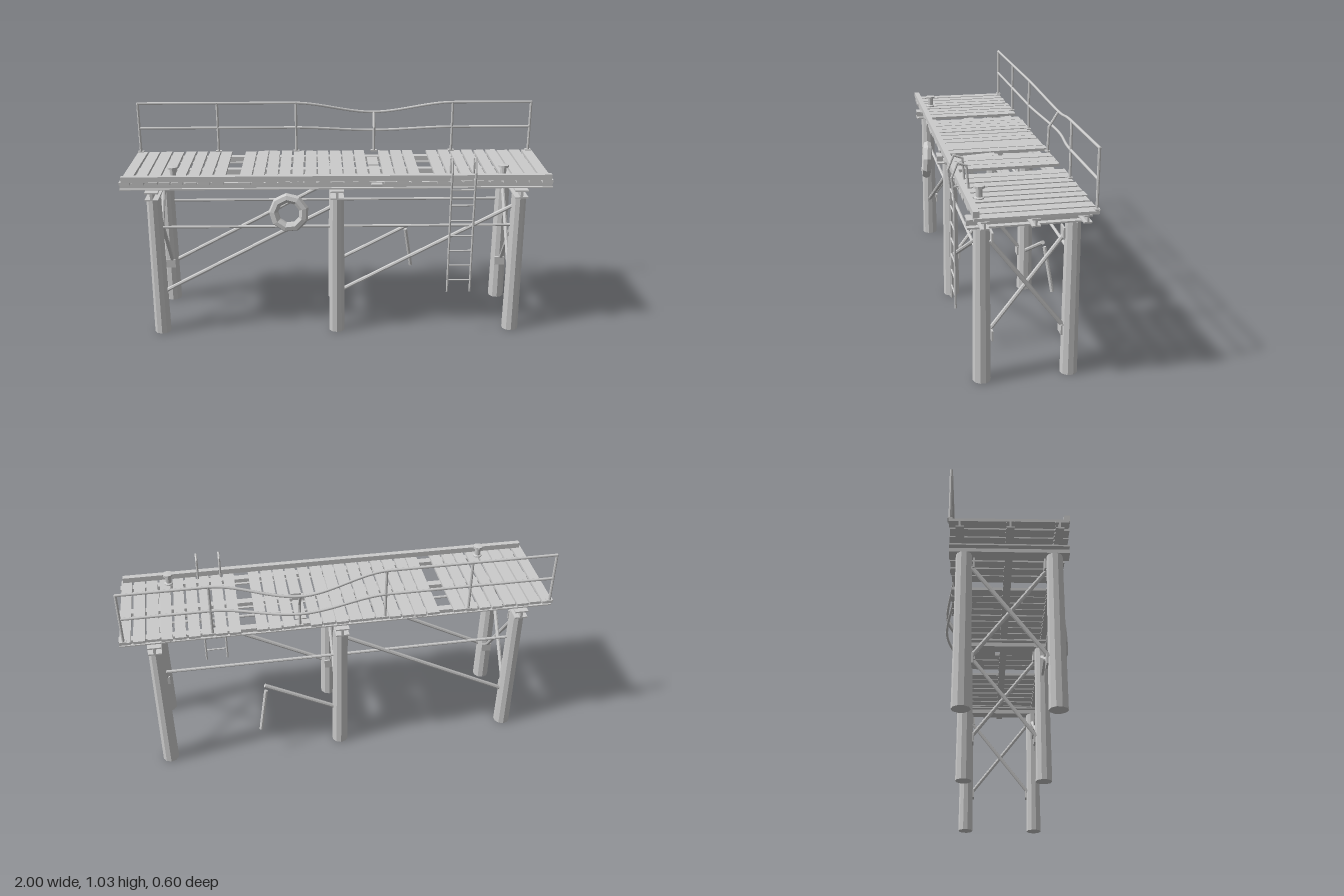
import * as THREE from 'three';

const mat = new THREE.MeshStandardMaterial({ color: 0xcccccc, flatShading: true });
const smooth = new THREE.MeshStandardMaterial({ color: 0xcccccc });
const V = (x, y, z) => new THREE.Vector3(x, y, z);

// small seeded generator, -1..1
function seeded(seed) {
  return () => {
    seed = (seed * 16807) % 2147483647;
    return (seed / 2147483647) * 2 - 1;
  };
}

function add(parent, name, geometry, x = 0, y = 0, z = 0, material = mat) {
  const m = new THREE.Mesh(geometry, material);
  m.name = name;
  m.position.set(x, y, z);
  parent.add(m);
  return m;
}

function box(parent, name, w, h, d, x, y, z) {
  return add(parent, name, new THREE.BoxGeometry(w, h, d), x, y, z);
}

// straight rod between two points
function rod(parent, name, a, b, r, sides = 8) {
  const dir = b.clone().sub(a);
  const m = add(parent, name, new THREE.CylinderGeometry(r, r, dir.length(), sides));
  m.position.copy(a).add(b).multiplyScalar(0.5);
  m.quaternion.setFromUnitVectors(V(0, 1, 0), dir.normalize());
  return m;
}

// steel I-beam along z, centred, standing on y = 0
function iBeam(w, h, flange, web, length) {
  const a = w / 2, b = web / 2, t = h - flange;
  const s = new THREE.Shape([
    [-a, 0], [a, 0], [a, flange], [b, flange], [b, t], [a, t],
    [a, h], [-a, h], [-a, t], [-b, t], [-b, flange], [-a, flange],
  ].map(([x, y]) => new THREE.Vector2(x, y)));
  return new THREE.ExtrudeGeometry(s, { depth: length, bevelEnabled: false }).translate(0, 0, -length / 2);
}

const BENTS = [-0.85, 0, 0.85];
const PILE_Z = 0.188;

function buildFrame() {
  const g = new THREE.Group();
  g.name = 'frame';
  for (const x of BENTS) {
    for (const s of [1, -1]) {
      add(g, 'pile', new THREE.CylinderGeometry(0.034, 0.039, 0.692, 10), x, 0.346, s * PILE_Z);
      // gusset plates on the inner faces
      for (const y of [0.645, 0.21]) box(g, 'gussetPlate', 0.05, 0.045, 0.008, x, y, s * 0.147);
      // cross brace, the two rods just beside each other
      rod(g, 'crossBrace', V(x + s * 0.008, 0.63, s * 0.155), V(x + s * 0.008, 0.225, -s * 0.155), 0.0095);
    }
    add(g, 'capBeam', iBeam(0.062, 0.04, 0.007, 0.012, 0.5), x, 0.692, 0);
  }
  for (const z of [-0.205, 0, 0.2]) {
    add(g, 'stringer', iBeam(0.034, 0.034, 0.006, 0.008, 2), 0, 0.732, z).rotation.y = Math.PI / 2;
  }
  // bracing along the jetty; the back right diagonal is broken
  for (const s of [1, -1]) {
    const z = s * PILE_Z;
    for (const x of [-0.85, 0]) {
      rod(g, 'horizontalBrace', V(x + 0.02, 0.54, z), V(x + 0.83, 0.54, z), 0.007);
      const a = V(x + 0.03, 0.215, z), b = V(x + 0.83, 0.64, z);
      if (s < 0 && x === 0) b.lerpVectors(a, b, 0.42);
      rod(g, 'diagonalBrace', a, b, 0.01);
    }
  }
  rod(g, 'brokenBrace', V(0.362, 0.37, -0.198), V(0.398, 0.155, -0.23), 0.009);
  return g;
}

function buildDeck() {
  const g = new THREE.Group();
  g.name = 'deck';
  const rnd = seeded(77);
  const count = 33, pitch = 2 / count;
  for (let i = 0; i < count; i++) {
    const x = -1 + pitch * (i + 0.5);
    if (i === 8 || i === 23) continue; // missing planks
    const w = pitch - 0.009 + rnd() * 0.003;
    if (i === 19) {
      // snapped plank, both halves sagging towards the break
      box(g, 'brokenPlankFront', w, 0.012, 0.24, x, 0.764, 0.122).rotation.x = 0.06;
      box(g, 'brokenPlankBack', w, 0.012, 0.14, x, 0.762, -0.11).rotation.x = -0.04;
      continue;
    }
    const p = box(g, 'plank', w, 0.013, 0.494 + rnd() * 0.006, x, 0.772 + rnd() * 0.001, -0.004 + rnd() * 0.003);
    p.rotation.y = rnd() * 0.008;
    p.rotation.z = rnd() * 0.02;
  }
  box(g, 'kerb', 1.97, 0.026, 0.025, 0, 0.792, 0.231);
  // mooring bollards
  const profile = [[0, 0], [0.021, 0], [0.021, 0.006], [0.014, 0.01], [0.014, 0.044], [0.024, 0.047], [0.024, 0.057], [0, 0.059]];
  for (const x of [-0.755, 0.77]) {
    add(g, 'bollard', new THREE.LatheGeometry(profile.map(([r, y]) => new THREE.Vector2(r, y)), 10), x, 0.778, 0.182);
  }
  return g;
}

function buildRailing() {
  const g = new THREE.Group();
  g.name = 'railing';
  const z = -0.245, step = 0.391;
  for (let i = 0; i < 6; i++) {
    const x = (i - 2.5) * step;
    box(g, 'postFoot', 0.03, 0.006, 0.02, x, 0.781, z);
    if (i === 3) {
      // post bent outwards
      rod(g, 'bentPost', V(x, 0.775, z), V(x, 0.9, z - 0.005), 0.0065);
      rod(g, 'bentPost', V(x, 0.897, z - 0.005), V(x, 0.968, -0.293), 0.0065);
    } else {
      rod(g, 'railPost', V(x, 0.775, z), V(x, 1.03, z), 0.0065);
    }
  }
  // rails dip and bulge around the bent post
  for (const [y, drop] of [[1.028, 0.06], [0.902, 0.028]]) {
    const pts = [];
    for (let i = 0; i <= 40; i++) {
      const x = -0.978 + i * 1.956 / 40;
      const t = Math.max(0, 1 - Math.abs(x - 0.19) / 0.4);
      const k = t * t * (3 - 2 * t);
      pts.push(V(x, y - drop * k, z - 0.048 * k));
    }
    add(g, 'rail', new THREE.TubeGeometry(new THREE.CatmullRomCurve3(pts), 80, 0.0065, 8), 0, 0, 0, smooth);
    for (const p of [pts[0], pts[40]]) add(g, 'railEnd', new THREE.SphereGeometry(0.0065, 8, 6), p.x, p.y, p.z, smooth);
  }
  return g;
}

function buildLadder() {
  const g = new THREE.Group();
  g.name = 'ladder';
  const path = [[0.23, 0.262], [0.735, 0.262], [0.825, 0.272], [0.888, 0.247], [0.875, 0.21], [0.778, 0.202]];
  for (const x of [0.522, 0.63]) {
    for (let i = 1; i < path.length; i++) {
      const [y0, z0] = path[i - 1], [y1, z1] = path[i];
      rod(g, 'ladderRail', V(x, y0, z0), V(x, y1, z1), 0.0052);
      add(g, 'railJoint', new THREE.SphereGeometry(0.0052, 8, 6), x, y1, z1);
    }
    box(g, 'ladderBracket', 0.01, 0.006, 0.035, x, 0.786, 0.25);
  }
  for (let i = 0; i < 7; i++) {
    const y = 0.29 + i * 0.075;
    rod(g, 'rung', V(0.522, y, 0.262), V(0.63, y, 0.262), 0.004);
  }
  return g;
}

export function createModel() {
  const model = new THREE.Group();
  model.name = 'jetty';
  model.add(buildFrame(), buildDeck(), buildRailing(), buildLadder());
  // life ring hanging on the front
  const ring = add(model, 'lifeRing', new THREE.TorusGeometry(0.071, 0.023, 7, 9), -0.222, 0.64, 0.272);
  ring.rotation.set(-0.07, -0.1, 0.3);
  return model;
}
